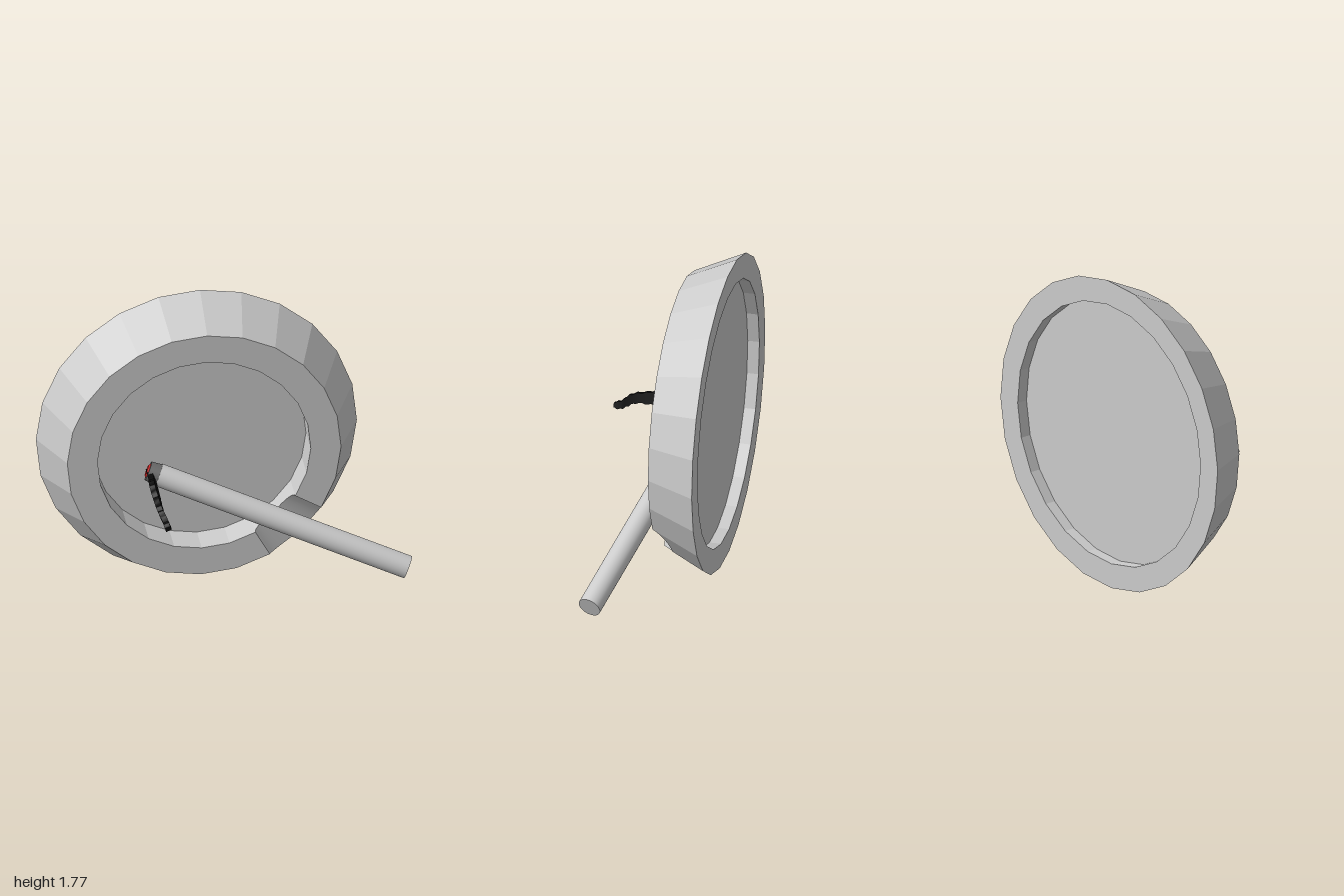
import * as THREE from 'three';
import { toCreasedNormals } from 'three/addons/utils/BufferGeometryUtils.js';

const STEP = Math.PI / 12;                    // 24-sided dish
const TURN = THREE.MathUtils.degToRad(-1.3);
const FRONT = -0.075, BACK = -0.35;
const CENTER = [-0.117, 0.888];

const grey = () => new THREE.MeshStandardMaterial({ color: 0xcccccc });

// Builds the dish from radial profiles; two sides carry the scooped rest
function dishGeometry() {
  const columns = [];
  for (let k = 0; k < 24; k++) {
    if (k === 21) {
      // finely divided columns across the scoop, from k = 20 to k = 22
      for (let n = 1; n < 24; n++) {
        const phi = -STEP * Math.cos((n / 24) * Math.PI);
        columns.push({ angle: 21 * STEP + phi, scoop: Math.sqrt(1 - (phi / STEP) ** 2) });
      }
    } else columns.push({ angle: k * STEP, scoop: 0 });
  }
  const profiles = columns.map(({ angle, scoop }) => {
    const off = angle - (Math.floor(angle / STEP + 1e-6) + 0.5) * STEP;
    const flat = Math.cos(STEP / 2) / Math.cos(off);   // stay on the polygon side
    const inner = 0.07 * scoop, outer = 0.09 * scoop;
    return [
      [0, -0.245], [0.588, -0.245],                    // well floor
      [0.588, FRONT - inner],                          // well wall
      [0.755 + outer * 0.473, FRONT - outer],          // rim
      [0.885, BACK], [0.745, BACK],                    // outer wall, foot ring
      [0.745, BACK + 0.065], [0, BACK + 0.065],        // underside recess
    ].map(([r, z]) => [
      CENTER[0] + r * flat * Math.cos(angle + TURN),
      CENTER[1] + r * flat * Math.sin(angle + TURN), z]);
  });
  const pos = [];
  const last = profiles[0].length - 2;
  profiles.forEach((p, i) => {
    const q = profiles[(i + 1) % profiles.length];
    for (let j = 0; j <= last; j++) {
      if (j < last) pos.push(...p[j], ...p[j + 1], ...q[j + 1]);
      if (j > 0) pos.push(...p[j], ...q[j + 1], ...q[j]);
    }
  });
  const g = new THREE.BufferGeometry();
  g.setAttribute('position', new THREE.Float32BufferAttribute(pos, 3));
  return toCreasedNormals(g, 0.2);
}

// Point on the stick's axis at a given x
const axisAt = (x) => new THREE.Vector3(x, 0.225 - 0.386 * (x - 0.965), 0.175 + 0.255 * (x - 0.965));

// Cylinder along the axis between two x positions
function stickPart(name, x0, x1, r0, r1, material) {
  const a = axisAt(x0), b = axisAt(x1);
  const mesh = new THREE.Mesh(new THREE.CylinderGeometry(r1, r0, a.distanceTo(b), 32), material);
  mesh.position.copy(a).add(b).multiplyScalar(0.5);
  mesh.quaternion.setFromUnitVectors(new THREE.Vector3(0, 1, 0), b.sub(a).normalize());
  mesh.name = name;
  return mesh;
}

// Wavy slanted ribbon of smoke, swept through rectangular sections
function smokeGeometry() {
  // x, y, z, width
  const path = [
    [-0.4, 0.745, -0.18, 0.05], [-0.4, 0.745, -0.075, 0.055], [-0.405, 0.757, -0.02, 0.07],
    [-0.41, 0.768, 0.04, 0.09], [-0.41, 0.758, 0.1, 0.09], [-0.408, 0.748, 0.16, 0.065],
    [-0.405, 0.74, 0.23, 0.055], [-0.395, 0.722, 0.275, 0.06], [-0.383, 0.7, 0.31, 0.045],
    [-0.382, 0.694, 0.35, 0.03],
  ];
  const curve = new THREE.CatmullRomCurve3(path.map((p) => new THREE.Vector3(p[0], p[1], p[2])));
  const pos = [], index = [], n = 36;
  for (let i = 0; i <= n; i++) {
    const t = i / n, c = curve.getPoint(t);
    const s = t * (path.length - 1), k = Math.min(Math.floor(s), path.length - 2);
    const w = THREE.MathUtils.lerp(path[k][3], path[k + 1][3], s - k) / 2 + 0.004 * Math.sin(i * 1.9);
    for (const [u, v] of [[1, 1], [-1, 1], [-1, -1], [1, -1]]) {
      pos.push(c.x + u * 0.015 - 0.34 * v * w, c.y + u * 0.005 + 0.94 * v * w, c.z);
    }
    if (i < n) for (let e = 0; e < 4; e++) {
      const a = i * 4 + e, b = i * 4 + (e + 1) % 4;
      index.push(a, b, b + 4, a, b + 4, a + 4);
    }
  }
  const m = n * 4;
  index.push(0, 2, 1, 0, 3, 2, m, m + 1, m + 2, m, m + 2, m + 3);
  const g = new THREE.BufferGeometry();
  g.setAttribute('position', new THREE.Float32BufferAttribute(pos, 3));
  g.setIndex(index);
  return toCreasedNormals(g, 0.6);
}

export function createModel() {
  const model = new THREE.Group();
  model.name = 'ashtray';

  const dish = new THREE.Mesh(dishGeometry(), grey());
  dish.name = 'dish';
  model.add(dish);

  // Cigarette: paper, filter, ash and ember share one axis
  const cigarette = new THREE.Group();
  cigarette.name = 'cigarette';
  cigarette.add(
    stickPart('paper', -0.355, 0.69, 0.064, 0.064, grey()),
    stickPart('filter', 0.69, 0.967, 0.064, 0.064, grey()),
    stickPart('ash', -0.41, -0.355, 0.054, 0.06, new THREE.MeshStandardMaterial({ color: 0x6a6a6a })),
    stickPart('ember', -0.418, -0.41, 0.03, 0.04, new THREE.MeshStandardMaterial({ color: 0xcc2222 })),
  );
  model.add(cigarette);

  const smoke = new THREE.Mesh(smokeGeometry(), new THREE.MeshStandardMaterial({ color: 0x0a0a0a }));
  smoke.name = 'smoke';
  model.add(smoke);
  return model;
}
